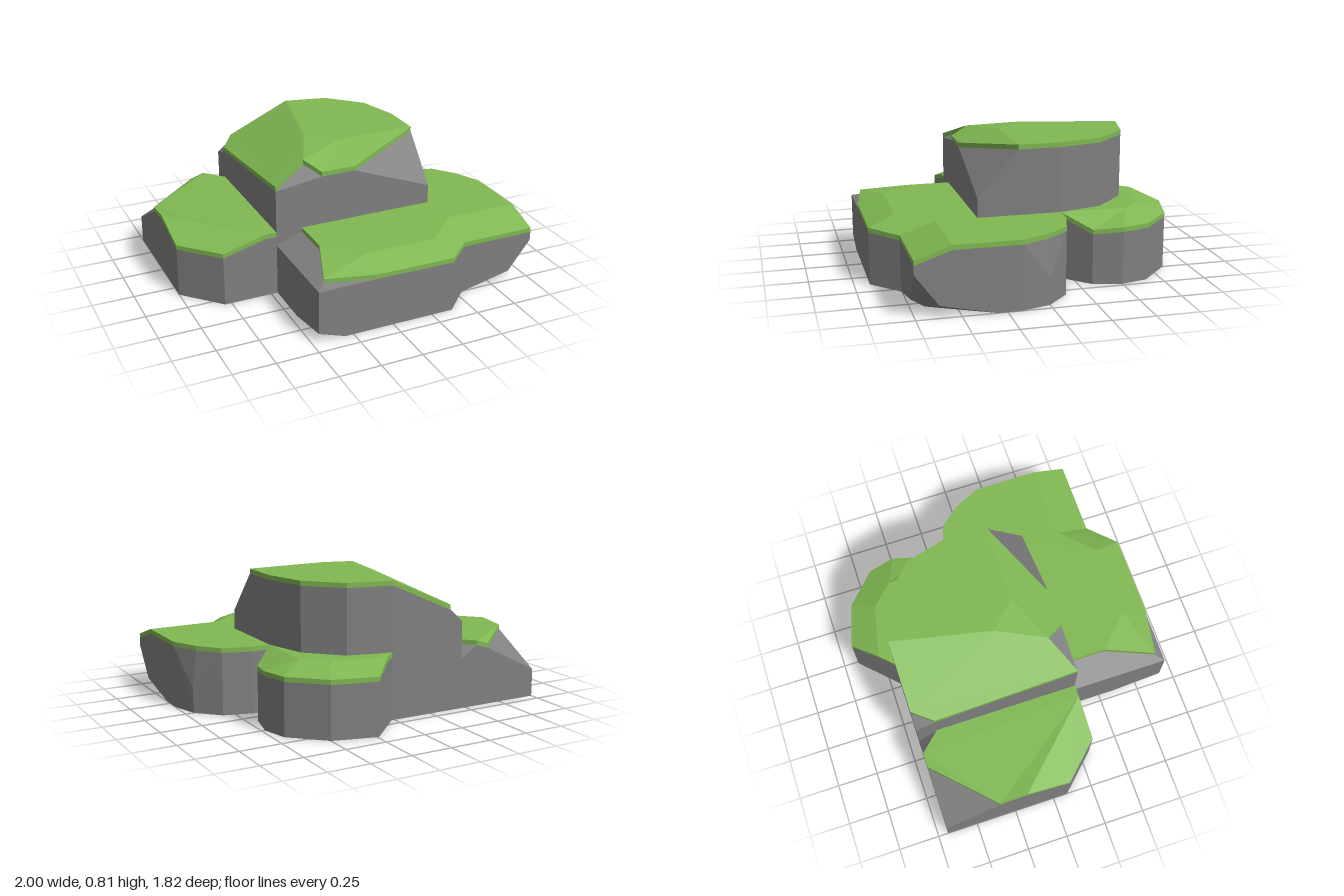
import * as THREE from 'three';
import { ConvexGeometry } from 'three/addons/geometries/ConvexGeometry.js';

const grass = new THREE.MeshStandardMaterial({ color: 0x80b852 });
grass.name = 'grass green';
const stone = new THREE.MeshStandardMaterial({ color: 0x808080 });
stone.name = 'stone grey';

const T = 0.028; // turf thickness

// Points given as [x, z] get the height y; points given as [x, z, h] keep h.
const at = (list, y) => list.map(([x, z, h = y]) => new THREE.Vector3(x, h, z));

// Rock: convex block around footprint and upper points.
function rock(name, foot, top) {
  const mesh = new THREE.Mesh(new ConvexGeometry([...at(foot, 0), ...at(top, 0.4 - T)]), stone);
  mesh.name = name;
  return mesh;
}

// Turf: facets seen from above, with a thin wall along every outer edge.
function turf(name, facets) {
  const pos = [];
  const edges = new Map();
  const key = (p) => p.toArray().map((v) => v.toFixed(3)).join();
  for (const facet of facets) {
    let pts = at(facet, 0.4);
    let flat = pts.map((p) => new THREE.Vector2(p.x, -p.z));
    if (THREE.ShapeUtils.isClockWise(flat)) {
      pts = pts.reverse();
      flat = flat.reverse();
    }
    for (const tri of THREE.ShapeUtils.triangulateShape(flat, [])) {
      for (const i of tri) pos.push(...pts[i].toArray());
    }
    pts.forEach((a, i) => {
      const b = pts[(i + 1) % pts.length];
      const twin = key(b) + '|' + key(a);
      if (edges.has(twin)) edges.delete(twin);
      else edges.set(key(a) + '|' + key(b), [a, b]);
    });
  }
  for (const [a, b] of edges.values()) {
    const c = a.clone().setY(a.y - T);
    const d = b.clone().setY(b.y - T);
    for (const p of [a, c, d, a, d, b]) pos.push(...p.toArray());
  }
  const geo = new THREE.BufferGeometry();
  geo.setAttribute('position', new THREE.Float32BufferAttribute(pos, 3));
  geo.computeVertexNormals();
  const mesh = new THREE.Mesh(geo, grass);
  mesh.name = name;
  return mesh;
}

// Lower a list of turf points to the rock surface below.
const under = (list) => list.map(([x, z, h = 0.4]) => [x, z, h - T]);

export function createModel() {
  const group = new THREE.Group();
  group.name = 'grassyRocks';

  // Tall middle rock
  const round = [[0.02, -0.69], [0.28, -0.63], [0.47, -0.44], [0.54, -0.18]];
  const high = round.map(([x, z]) => [x, z, 0.81]);
  const ridge = [[0.54, 0.07, 0.81], [0.05, 0.07, 0.81], [-0.11, -0.09, 0.81]];
  const leftSlope = [[-0.37, -0.69, 0.635], [-0.46, -0.57, 0.607], [-0.46, 0.31, 0.688], [-0.24, 0.2, 0.776]];
  const lip = [[-0.17, 0.31, 0.73], [0.04, 0.31, 0.73]];
  group.add(
    rock('tallRock', [[-0.46, -0.69], ...round, [0.54, 0.31], [-0.46, 0.31]],
      [...under([...high, ...ridge, ...leftSlope, ...lip]), [-0.46, -0.69, 0.53], [0.54, 0.31, 0.515]]),
    turf('tallTurf', [
      [...high, ...ridge],
      [high[0], ridge[2], leftSlope[3], leftSlope[2], leftSlope[1], leftSlope[0]],
      [ridge[2], ridge[1], lip[0], leftSlope[3]],
      [ridge[1], ridge[0], lip[1], lip[0]],
    ]),
  );

  // Low left rock
  const leftTop = [[-0.46, -0.57], [-0.46, 0.31], [-0.53, 0.31], [-1, -0.18],
    [-1, -0.35, 0.385], [-0.65, -0.69, 0.375], [-0.57, -0.69]];
  const leftRim = [[-0.79, 0.31, 0.33], [-1, 0.09, 0.33]];
  group.add(
    rock('leftRock', [[-1, -0.69], [-1, 0.09], [-0.79, 0.31], [-0.46, 0.31], [-0.46, -0.69]],
      [...under([...leftTop, ...leftRim]), [-1, -0.69, 0.17], [-0.46, -0.69, 0.3]]),
    turf('leftTurf', [leftTop, [leftTop[3], leftTop[2], ...leftRim]]),
  );

  // Small back rock
  const crest = [[0.02, -0.69], [0.1, -0.77], [0.42, -0.7], [0.55, -0.57], [0.54, -0.18]];
  const rim = [[0.24, -0.91, 0.34], [0.5, -0.84, 0.34], [0.69, -0.66, 0.34], [0.73, -0.5, 0.34], [0.69, -0.33, 0.325]];
  group.add(
    rock('backRock', [crest[0], ...rim.map(([x, z]) => [x, z]), crest[4]], under([...crest, ...rim])),
    turf('backTurf', [
      crest,
      [crest[1], crest[0], rim[0]],
      [crest[1], rim[0], rim[1], crest[2]],
      [crest[2], rim[1], rim[2], crest[3]],
      [crest[3], rim[2], rim[3]],
      [crest[3], rim[3], rim[4]],
      [crest[3], rim[4], crest[4]],
    ]),
  );

  // Front rock in two blocks, with chipped lower corners
  const brow = [[-0.3, 0.56], [-0.11, 0.755], [0.34, 0.755], [0.54, 0.55], [1, 0.55]];
  const edge = [[-0.41, 0.86, 0.36], [-0.11, 0.91, 0.345], [0.38, 0.91, 0.34], [0.54, 0.755, 0.33], [1, 0.755, 0.33]];
  const backEdge = [[1, 0.16], [0.925, 0], [0.82, -0.13], [0.65, -0.18], [0.54, -0.18]];
  group.add(
    rock('frontRock',
      [[-0.46, 0.31], [-0.46, 0.6], [-0.46, 0.91, 0.055], [-0.3, 0.91], [0.38, 0.91], [0.54, 0.755], [0.54, 0.31]],
      [...under([[-0.3, 0.31], ...brow.slice(0, 4), ...edge.slice(0, 4)]),
        [0.54, 0.31], [-0.46, 0.31, 0.315], [-0.46, 0.91, 0.315]]),
    rock('rightRock',
      [[0.54, -0.18], [0.65, -0.18], [0.82, -0.13], [0.95, 0], [0.95, 0, 0.15], [1, 0.17], [1, 0.3], [0.54, 0.755],
        [0.86, 0.755, 0.07], [0.92, 0.69, 0.045], [1, 0.62, 0.07], [1, 0.755, 0.25]],
      under([...brow.slice(3), ...edge.slice(3), ...backEdge])),
    turf('frontTurf', [
      [[-0.3, 0.31], ...brow, ...backEdge, [0.54, 0.31]],
      ...[0, 1, 2, 3].map((i) => [brow[i], brow[i + 1], edge[i + 1], edge[i]]),
    ]),
  );
  return group;
}
